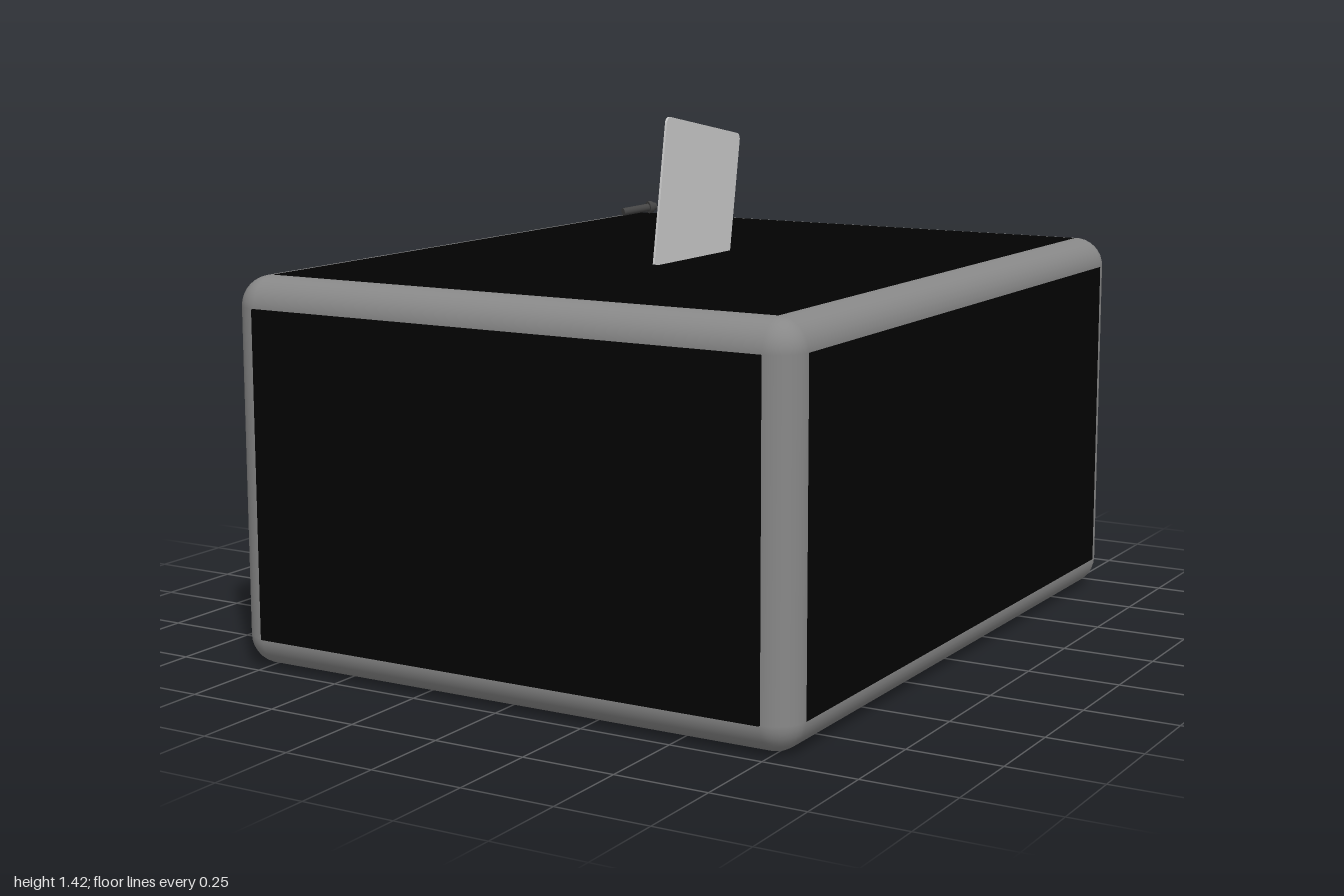
import * as THREE from 'three';

const R = 0.08;                                   // frame edge radius
const MIN = new THREE.Vector3(-0.82, 0.003, -1);  // frame bounds
const MAX = new THREE.Vector3(0.82, 1.035, 0.992);

const frameMat = new THREE.MeshStandardMaterial({ color: 0x888888 });
const panelMat = new THREE.MeshStandardMaterial({ color: 0x020202 });
const greyMat = new THREE.MeshStandardMaterial({ color: 0xcccccc });
const boltMat = new THREE.MeshStandardMaterial({ color: 0x444444 });

function add(parent, name, geometry, material, x = 0, y = 0, z = 0) {
  const mesh = new THREE.Mesh(geometry, material);
  mesh.name = name;
  mesh.position.set(x, y, z);
  parent.add(mesh);
  return mesh;
}

// Rounded frame: a bar along each edge, a ball at each corner
function buildFrame() {
  const frame = new THREE.Group();
  frame.name = 'frame';
  const lo = MIN.clone().addScalar(R), hi = MAX.clone().subScalar(R);
  const mid = lo.clone().add(hi).multiplyScalar(0.5);
  const size = hi.clone().sub(lo);
  const axes = ['x', 'y', 'z'];
  axes.forEach((axis, i) => {
    const b = axes[(i + 1) % 3], c = axes[(i + 2) % 3];
    const bar = new THREE.CylinderGeometry(R, R, size[axis], 32, 1, true);
    if (axis === 'x') bar.rotateZ(Math.PI / 2);
    if (axis === 'z') bar.rotateX(Math.PI / 2);
    for (const vb of [lo[b], hi[b]]) for (const vc of [lo[c], hi[c]]) {
      const m = add(frame, 'frameBar', bar, frameMat);
      m.position[axis] = mid[axis];
      m.position[b] = vb;
      m.position[c] = vc;
    }
  });
  const ball = new THREE.SphereGeometry(R, 32, 16);
  for (const x of [lo.x, hi.x]) for (const y of [lo.y, hi.y]) for (const z of [lo.z, hi.z])
    add(frame, 'frameCorner', ball, frameMat, x, y, z);
  return frame;
}

function rectangle(target, x0, y0, x1, y1) {
  target.moveTo(x0, y0);
  target.lineTo(x1, y0);
  target.lineTo(x1, y1);
  target.lineTo(x0, y1);
  target.closePath();
  return target;
}

// Dark panels filling the six sides
function buildPanels() {
  const panels = new THREE.Group();
  panels.name = 'panels';
  const T = 0.02;
  const w = MAX.x - MIN.x - 2 * R, h = MAX.y - MIN.y - 2 * R, d = MAX.z - MIN.z - 2 * R;
  const cy = (MIN.y + MAX.y) / 2, cz = (MIN.z + MAX.z) / 2;
  const side = new THREE.BoxGeometry(T, h, d);
  add(panels, 'leftPanel', side, panelMat, MAX.x - T / 2, cy, cz);
  add(panels, 'rightPanel', side, panelMat, MIN.x + T / 2, cy, cz);
  const end = new THREE.BoxGeometry(w, h, T);
  add(panels, 'frontPanel', end, panelMat, 0, cy, 1 - T / 2);
  add(panels, 'backPanel', end, panelMat, 0, cy, MIN.z + T / 2);
  add(panels, 'bottomPanel', new THREE.BoxGeometry(w, T, d), panelMat, 0, T / 2, cz);

  // Top panel with the slot cut through it (shape y becomes -z)
  const top = rectangle(new THREE.Shape(), -w / 2, -cz - d / 2, w / 2, -cz + d / 2);
  top.holes.push(rectangle(new THREE.Path(), -0.02, -0.24, 0.02, 0.255));
  const topGeo = new THREE.ExtrudeGeometry(top, { depth: T, bevelEnabled: false });
  topGeo.rotateX(-Math.PI / 2);
  add(panels, 'topPanel', topGeo, panelMat, 0, MAX.y - T, 0);

  // Pale floor seen through the slot
  add(panels, 'innerFloor', new THREE.BoxGeometry(w, 0.02, d), greyMat, 0, 0.05, cz);
  return panels;
}

// Thin card with rounded corners, tilted and half inserted in the slot
function buildCard() {
  const w = 0.203, h = 0.285, r = 0.018, t = 0.006;
  const s = new THREE.Shape();
  s.moveTo(-w + r, -h);
  s.lineTo(w - r, -h);
  s.absarc(w - r, -h + r, r, -Math.PI / 2, 0);
  s.absarc(w - r, h - r, r, 0, Math.PI / 2);
  s.absarc(-w + r, h - r, r, Math.PI / 2, Math.PI);
  s.absarc(-w + r, -h + r, r, Math.PI, Math.PI * 1.5);
  const geo = new THREE.ExtrudeGeometry(s, { depth: t, bevelEnabled: false, curveSegments: 6 });
  geo.translate(0, 0, -t / 2);
  geo.rotateY(-Math.PI / 2);
  const card = new THREE.Mesh(geo, greyMat);
  card.name = 'card';
  card.position.set(0, 1.109, 0.015);
  card.rotation.x = -THREE.MathUtils.degToRad(10);
  return card;
}

// Small loose bolt hovering over the back right corner
function buildBolt() {
  const bolt = new THREE.Group();
  bolt.name = 'bolt';
  const from = new THREE.Vector3(-0.676, 1.058, -0.706);
  const to = new THREE.Vector3(-0.617, 1.071, -0.803);
  const dir = to.clone().sub(from);
  const len = dir.length();
  add(bolt, 'boltShank', new THREE.CylinderGeometry(0.012, 0.012, len * 0.8, 16), boltMat, 0, len * 0.4, 0);
  add(bolt, 'boltCollar', new THREE.CylinderGeometry(0.019, 0.019, 0.012, 16), boltMat, 0, len * 0.83, 0);
  add(bolt, 'boltHead', new THREE.CylinderGeometry(0.012, 0.016, len * 0.15, 16), boltMat, 0, len * 0.925, 0);
  bolt.position.copy(from);
  bolt.quaternion.setFromUnitVectors(new THREE.Vector3(0, 1, 0), dir.normalize());
  return bolt;
}

export function createModel() {
  const model = new THREE.Group();
  model.name = 'slottedBox';
  model.add(buildFrame(), buildPanels(), buildCard(), buildBolt());
  return model;
}
